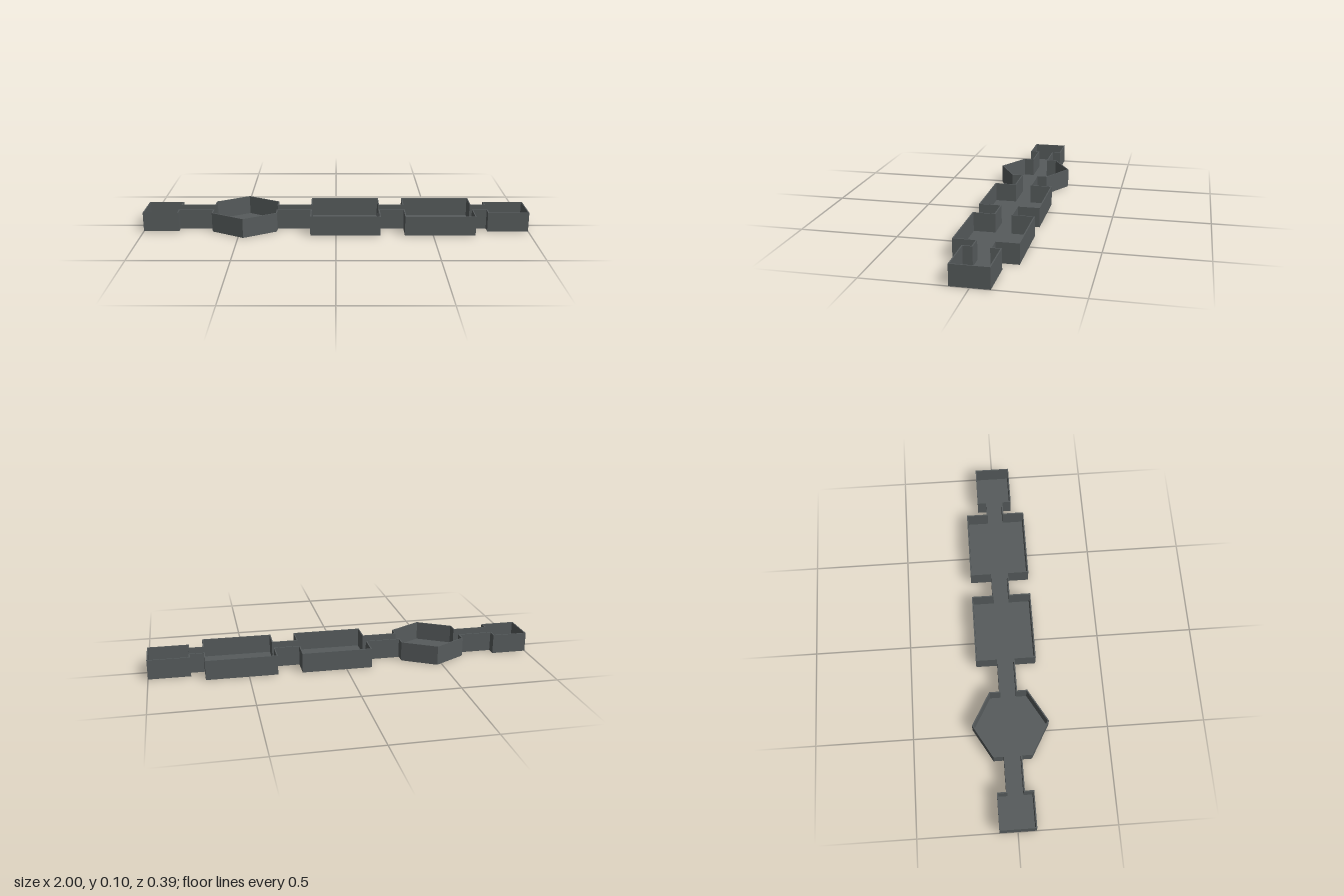
import * as THREE from 'three';

const HEIGHT = 0.102, FLOOR = 0.006, WALL = 0.006, HALL = 0.046;
const HEX = { x: -0.473, r: 0.195 };

// rectangular rooms: name, x range, half depth
const ROOMS = [
  ['rightEndRoom', -1, -0.816, 0.092],
  ['middleRoom', -0.132, 0.229, 0.156],
  ['leftRoom', 0.354, 0.717, 0.156],
  ['leftEndRoom', 0.787, 1, 0.092],
];
// corridors join neighbouring chambers
const CORRIDORS = [[-0.816, -0.642], [-0.304, -0.132], [0.229, 0.354], [0.717, 0.787]];

// closed outline of the whole floor plan, moved inwards by t
function planOutline(t) {
  const hall = HALL - t;
  const r = HEX.r - t * 2 / Math.sqrt(3), w = r * Math.cos(Math.PI / 6);
  const side = [];
  ROOMS.forEach(([, x0, x1, z], i) => {
    const a = x0 + t, b = x1 - t;
    if (i > 0) side.push([a, hall]);
    side.push([a, z - t], [b, z - t]);
    if (i < ROOMS.length - 1) side.push([b, hall]);
    if (i === 0) {
      side.push([HEX.x - w, hall], [HEX.x - w, r / 2], [HEX.x, r], [HEX.x + w, r / 2], [HEX.x + w, hall]);
    }
  });
  // counter-clockwise: along one side, back along the other
  const mirrored = side.map(([x, z]) => [x, -z]);
  return [...mirrored, ...side.reverse()].map(([x, z]) => new THREE.Vector2(x, z));
}

export function createModel() {
  const group = new THREE.Group();
  const stone = new THREE.MeshStandardMaterial({ color: 0x565b5c });
  stone.name = 'dark grey';

  const add = (name, geometry, x = 0, y = 0) => {
    const mesh = new THREE.Mesh(geometry, stone);
    mesh.name = name;
    mesh.position.set(x, y, 0);
    group.add(mesh);
  };
  const addFloor = (name, x0, x1, z) =>
    add(name, new THREE.BoxGeometry(x1 - x0, FLOOR, 2 * z), (x0 + x1) / 2, FLOOR / 2);

  // floors
  ROOMS.forEach(([name, x0, x1, z]) => addFloor(name + 'Floor', x0, x1, z));
  CORRIDORS.forEach(([x0, x1], i) => addFloor('corridorFloor' + (i + 1), x0 - 0.004, x1 + 0.004, HALL));

  // six-sided room floor, slightly smaller than its walls
  const hexFloor = new THREE.CylinderGeometry(HEX.r - 0.003, HEX.r - 0.003, FLOOR, 6).toNonIndexed();
  hexFloor.computeVertexNormals();
  add('hexagonRoomFloor', hexFloor, HEX.x, FLOOR / 2);

  // one continuous thin wall, leaving doorways open between rooms and corridors
  const plan = new THREE.Shape(planOutline(0));
  plan.holes.push(new THREE.Path(planOutline(WALL)));
  const walls = new THREE.ExtrudeGeometry(plan, { depth: HEIGHT - FLOOR, bevelEnabled: false });
  walls.rotateX(-Math.PI / 2);
  add('walls', walls, 0, FLOOR);

  return group;
}
